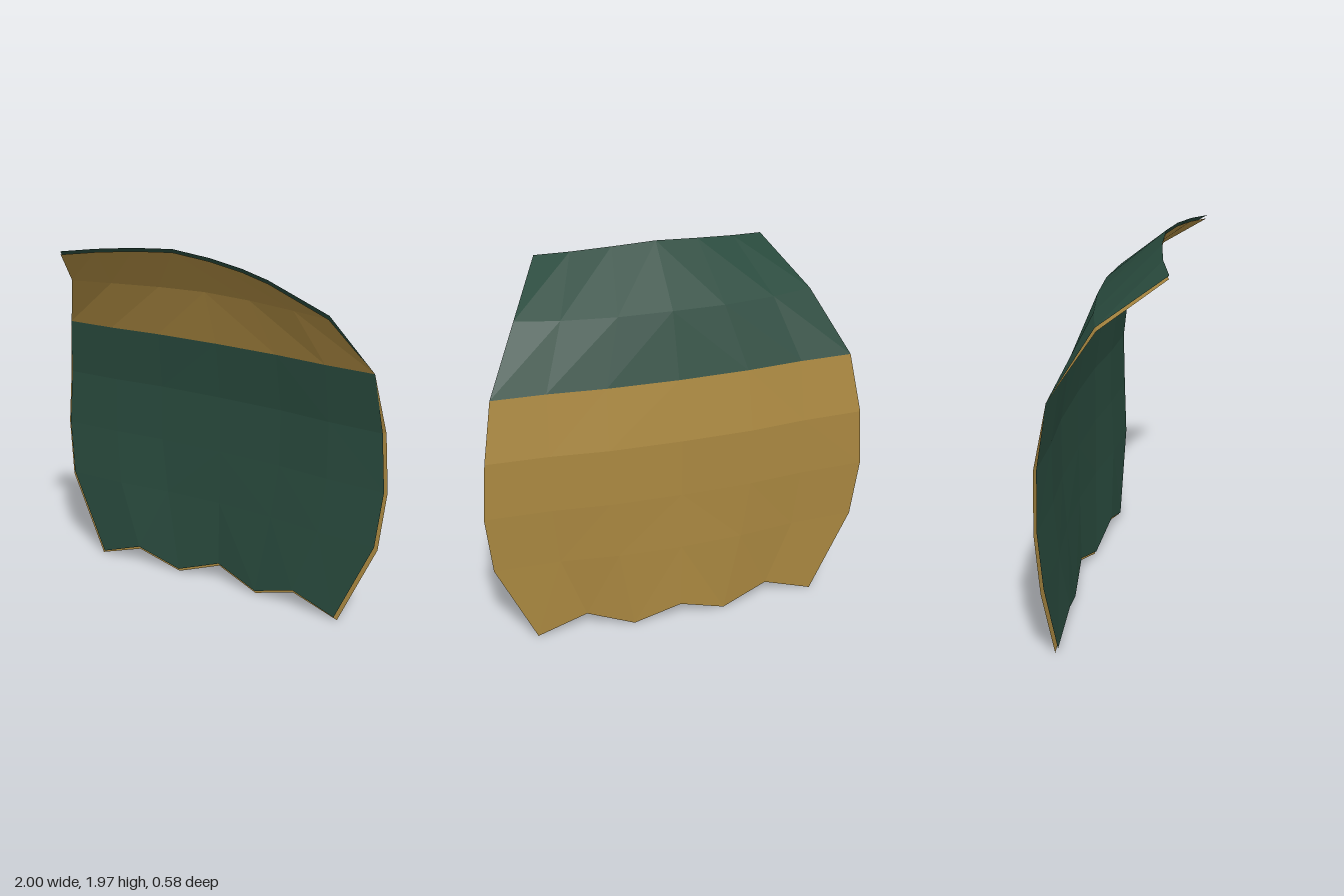
import * as THREE from 'three';

const gold = new THREE.MeshStandardMaterial({ color: 0xa98740, side: THREE.DoubleSide, flatShading: true });
gold.name = 'gold cloth';
const green = new THREE.MeshStandardMaterial({ color: 0x28493c, side: THREE.DoubleSide, flatShading: true });
green.name = 'green cloth';

// Half cross-sections from hem to collar: [x, y, z] at the centre and three columns outwards
const rows = [
  { x: [0, 0.25, 0.5, 0.765], y: [0.09, 0, 0.09, 0], z: [-0.29, -0.265, -0.23, -0.23] },
  { x: [0, 0.33, 0.63, 0.97], y: [0.46, 0.46, 0.46, 0.46], z: [-0.293, -0.28, -0.245, -0.235] },
  { x: [0, 0.37, 0.66, 1.0], y: [0.78, 0.78, 0.78, 0.78], z: [-0.295, -0.288, -0.26, -0.25] },
  { x: [0, 0.37, 0.66, 0.975], y: [1.09, 1.09, 1.09, 1.09], z: [-0.295, -0.288, -0.26, -0.25] },
  { x: [0, 0.36, 0.65, 0.92], y: [1.4, 1.4, 1.4, 1.4], z: [-0.237, -0.228, -0.204, -0.197] },
  { x: [0, 0.27, 0.54, 0.755], y: [1.7, 1.695, 1.69, 1.69], z: [-0.12, -0.105, -0.06, -0.005] },
  { x: [0, 0.22, 0.42, 0.59], y: [1.953, 1.938, 1.918, 1.897], z: [0.172, 0.19, 0.23, 0.288] },
];

// The lining lies in front of the cape below the seam and behind it above
function liningRow(row, i) {
  if (i === 4) return row;
  const below = i < 4;
  return {
    x: row.x.map((x, c) => (c === 3 && below ? x - 0.015 : x)),
    y: row.y.map((y) => y + (below ? (i < 2 ? 0.017 : 0) : 0.017)),
    z: row.z.map((z) => z + (below ? 0.011 : i === 5 ? -0.006 : 0.002)),
  };
}

// Mirrored sheet through the rows, with diagonals mirrored about the centre
function sheet(name, material, sections) {
  const pos = [];
  const index = [];
  for (const r of sections) {
    for (let c = -3; c <= 3; c++) {
      const k = Math.abs(c);
      pos.push(Math.sign(c) * r.x[k], r.y[k], r.z[k]);
    }
  }
  for (let i = 0; i < sections.length - 1; i++) {
    for (let c = 0; c < 6; c++) {
      const a = i * 7 + c, b = a + 1, d = a + 7, e = a + 8;
      if (c < 3) index.push(a, b, e, a, e, d);
      else index.push(a, b, d, b, e, d);
    }
  }
  const g = new THREE.BufferGeometry();
  g.setAttribute('position', new THREE.Float32BufferAttribute(pos, 3));
  g.setIndex(index);
  const flat = g.toNonIndexed();
  flat.computeVertexNormals();
  const mesh = new THREE.Mesh(flat, material);
  mesh.name = name;
  return mesh;
}

export function createModel() {
  const group = new THREE.Group();
  group.name = 'cape';
  const lining = rows.map(liningRow);
  // Each sheet is split at the shoulder seam into body and collar
  group.add(
    sheet('capeBack', gold, rows.slice(0, 5)),
    sheet('collarInside', gold, rows.slice(4)),
    sheet('capeFront', green, lining.slice(0, 5)),
    sheet('collarOutside', green, lining.slice(4)),
  );
  return group;
}
